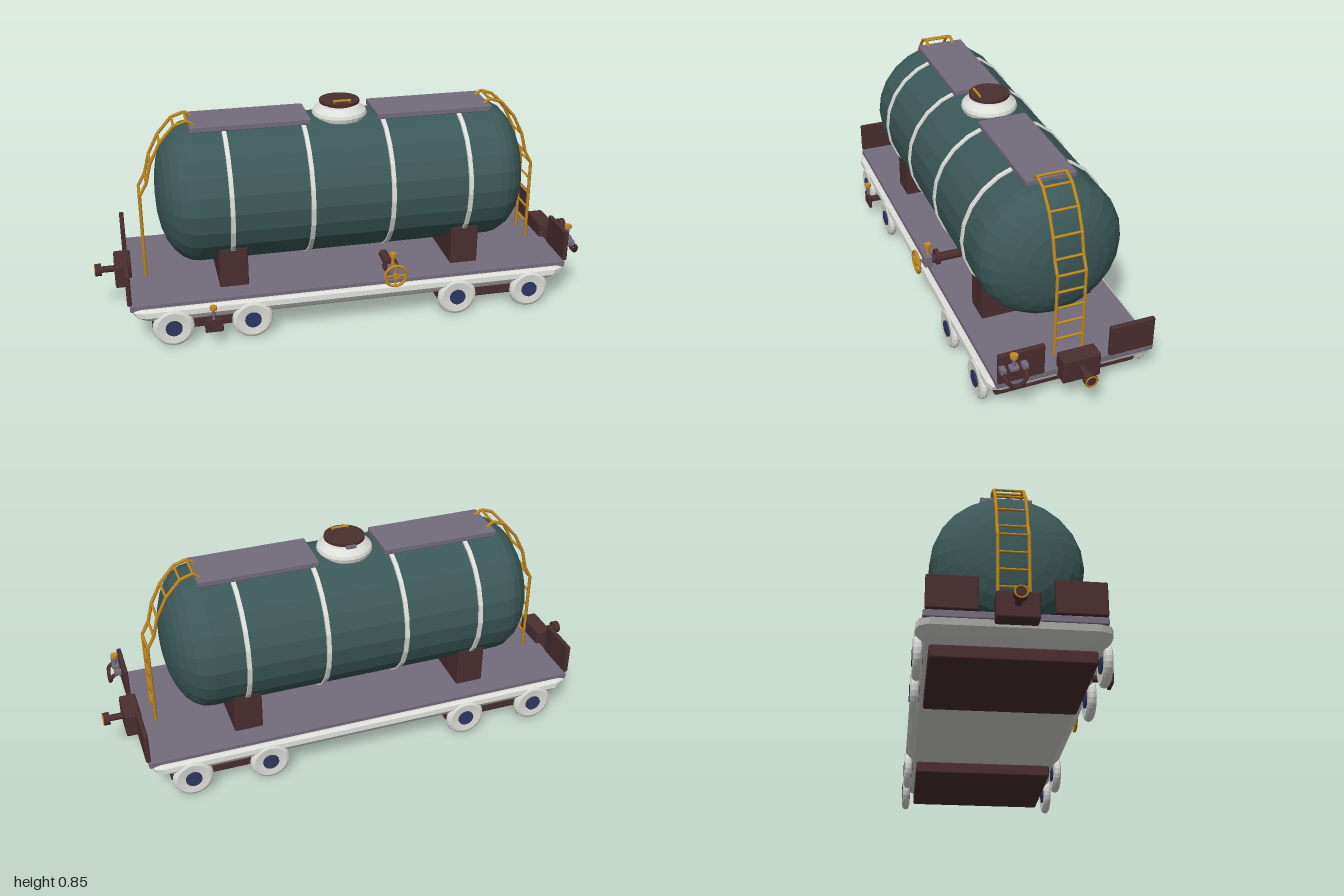
import * as THREE from 'three';
import { RoundedBoxGeometry } from 'three/addons/geometries/RoundedBoxGeometry.js';
import { ConvexGeometry } from 'three/addons/geometries/ConvexGeometry.js';

const ZC = -0.02; // centre line of the wagon

function material(name, color, flatShading = false) {
  const m = new THREE.MeshStandardMaterial({ color, flatShading });
  m.name = name;
  return m;
}

export function createModel() {
  const green = material('tank green', 0x3c5858, true);
  const white = material('off white', 0xdcdcd8, true);
  const maroon = material('dark maroon', 0x4a2e30);
  const grey = material('mauve grey', 0x746c7c);
  const gold = material('gold', 0xc08a20);
  const navy = material('navy', 0x2f3860);

  const model = new THREE.Group();
  model.name = 'tankWagon';

  const add = (name, geometry, mat, x = 0, y = 0, z = 0, parent = model) => {
    const mesh = new THREE.Mesh(geometry, mat);
    mesh.name = name;
    mesh.position.set(x, y, z);
    parent.add(mesh);
    return mesh;
  };
  // Rounded box given by its centre and size
  const box = (name, mat, [x, y, z], [w, h, d], r = 0.005, parent = model) =>
    add(name, new RoundedBoxGeometry(w, h, d, 1, r), mat, x, y, z, parent);
  // Cylinder along an axis
  const rod = (name, mat, axis, [x, y, z], r, length, sides = 16, parent = model) => {
    const g = new THREE.CylinderGeometry(r, r, length, sides);
    if (axis === 'x') g.rotateZ(Math.PI / 2);
    if (axis === 'z') g.rotateX(Math.PI / 2);
    return add(name, g, mat, x, y, z, parent);
  };
  const lathe = (pairs, sides) =>
    new THREE.LatheGeometry(pairs.map(([r, y]) => new THREE.Vector2(r, y)), sides);
  const group = (name) => {
    const g = new THREE.Group();
    g.name = name;
    model.add(g);
    return g;
  };

  // Tank: straight barrel with domed ends, lying along x
  const profile = [];
  const steps = 7;
  for (const end of [-1, 1]) {
    for (let i = 0; i <= steps; i++) {
      const a = (end < 0 ? i : steps - i) / steps * Math.PI / 2;
      profile.push([0.28 * Math.pow(Math.sin(a), 0.85), end * (0.59 + 0.15 * Math.cos(a))]);
    }
  }
  add('tank', lathe(profile, 24).rotateZ(Math.PI / 2), green, 0, 0.505, ZC);

  // Bands round the tank
  for (const x of [-0.468, -0.16, 0.155, 0.465]) {
    const ring = lathe([[0.276, -0.01], [0.287, -0.008], [0.287, 0.008], [0.276, 0.01]], 24);
    add('tankBand', ring.rotateZ(Math.PI / 2), white, x, 0.505, ZC);
  }

  // Filler dome, lid, handle and hinge
  add('fillerDome', lathe([[0.085, -0.04], [0.105, -0.015], [0.109, 0.0], [0.105, 0.012],
    [0.078, 0.032], [0, 0.034]], 24), white, 0, 0.785, -0.022);
  rod('lidNeck', maroon, 'y', [0, 0.822, -0.022], 0.06, 0.012, 20);
  rod('fillerLid', maroon, 'y', [0, 0.832, -0.022], 0.079, 0.011, 24);
  rod('lidHandle', gold, 'x', [0, 0.845, 0.028], 0.005, 0.07, 8);
  for (const x of [-0.03, 0.03]) rod('lidHandlePost', gold, 'y', [x, 0.84, 0.028], 0.004, 0.012, 8);
  box('lidHinge', grey, [0, 0.826, -0.1], [0.04, 0.014, 0.016], 0.003);

  // Chassis: cut-cornered slab narrowing downwards
  const points = [];
  for (const [y, hx, hz] of [[0.162, 0.862, 0.312], [0.153, 0.872, 0.325], [0.132, 0.862, 0.327],
    [0.11, 0.83, 0.312], [0.093, 0.80, 0.29]]) {
    for (const sx of [-1, 1]) for (const sz of [-1, 1]) {
      points.push(new THREE.Vector3(sx * hx, y, ZC + sz * (hz - 0.045)));
      points.push(new THREE.Vector3(sx * (hx - 0.013), y, ZC + sz * (hz - 0.013)));
      points.push(new THREE.Vector3(sx * (hx - 0.045), y, ZC + sz * hz));
    }
  }
  add('chassis', new ConvexGeometry(points), white);
  box('deck', grey, [0, 0.166, ZC], [1.75, 0.028, 0.61]);

  // Parts repeated at both ends
  for (const s of [-1, 1]) {
    box('bogie', maroon, [s * 0.57, 0.07, ZC], [0.45, 0.05, 0.56], 0.008);
    box('saddle', maroon, [s * 0.467, 0.255, ZC], [0.112, 0.17, 0.45]);
    box('walkway', grey, [s * 0.366, 0.785, ZC - 0.003], [0.468, 0.024, 0.194], 0.004);
    box('endPlate', maroon, [s * 0.875, 0.242, 0.195], [0.018, 0.125, 0.176]);
    box('endPlate', maroon, [s * 0.875, 0.242, -0.232], [0.018, 0.125, 0.176]);

    // Coupler
    box('couplerBox', maroon, [s * 0.888, 0.188, ZC], [0.066, 0.097, 0.146], 0.007);
    rod('couplerShank', maroon, 'x', [s * 0.95, 0.193, ZC], 0.013, 0.08);
    rod('couplerHead', maroon, 'x', [s * 0.984, 0.193, ZC], 0.025, 0.024, 20);
    add('couplerRing', new THREE.TorusGeometry(0.021, 0.003, 6, 24).rotateY(Math.PI / 2), gold,
      s * 0.996, 0.193, ZC);

    // Ladder bent over the end of the tank
    const ladder = group('ladder');
    const path = [[0.8, 0.18], [0.8, 0.52], [0.772, 0.57], [0.752, 0.65], [0.712, 0.73],
      [0.655, 0.795], [0.605, 0.812], [0.575, 0.79]];
    const rail = new THREE.CurvePath();
    for (let i = 1; i < path.length; i++) {
      rail.add(new THREE.LineCurve3(new THREE.Vector3(s * path[i - 1][0], path[i - 1][1], 0),
        new THREE.Vector3(s * path[i][0], path[i][1], 0)));
    }
    for (const z of [0.034, -0.075]) {
      add('ladderRail', new THREE.TubeGeometry(rail, 90, 0.0065, 6), gold, 0, 0, z, ladder);
    }
    const rungs = [[0.8, 0.245], [0.8, 0.315], [0.8, 0.382], [0.8, 0.45], ...path.slice(1)];
    for (const [x, y] of rungs) {
      rod('ladderRung', gold, 'z', [s * x, y, ZC], 0.005, 0.11, 8, ladder);
    }

    // Wheels with hubs, two per side at each end
    for (const x of [0.413, 0.717]) for (const side of [-1, 1]) {
      const wheel = group('wheel');
      wheel.position.set(s * x, 0.08, ZC + side * 0.315);
      const tyre = lathe([[0.03, -0.012], [0.065, -0.016], [0.076, -0.01], [0.08, 0],
        [0.076, 0.01], [0.065, 0.016], [0.03, 0.012], [0.03, -0.012]], 24);
      add('tyre', tyre.rotateX(Math.PI / 2), white, 0, 0, 0, wheel);
      rod('hub', navy, 'z', [0, 0, 0], 0.032, 0.036, 16, wheel);
    }
  }

  // Discharge valve with hand wheel on the front side
  const valve = group('dischargeValve');
  const vx = 0.145, vy = 0.222;
  rod('valvePipe', maroon, 'z', [vx, vy, 0.21], 0.018, 0.14, 12, valve);
  rod('valveFlange', maroon, 'z', [vx, vy + 0.005, 0.255], 0.032, 0.014, 16, valve);
  box('valveBody', grey, [vx, vy, 0.295], [0.04, 0.05, 0.034], 0.005, valve);
  rod('valveAxle', grey, 'z', [vx, vy, 0.322], 0.007, 0.04, 10, valve);
  add('handWheel', new THREE.TorusGeometry(0.043, 0.006, 8, 24), gold, vx, vy, 0.34, valve);
  rod('wheelSpoke', gold, 'x', [vx, vy, 0.34], 0.004, 0.086, 8, valve);
  rod('wheelSpoke', gold, 'y', [vx, vy, 0.34], 0.004, 0.086, 8, valve);
  rod('wheelBoss', gold, 'z', [vx, vy, 0.34], 0.012, 0.014, 12, valve);
  rod('valveStem', gold, 'y', [vx, 0.265, 0.292], 0.007, 0.045, 10, valve);
  rod('valveCap', gold, 'y', [vx, 0.291, 0.292], 0.014, 0.012, 12, valve);

  // Brake release on the front side
  const brake = group('brakeRelease');
  box('brakePlate', maroon, [-0.567, 0.095, 0.343], [0.07, 0.056, 0.014], 0.005, brake);
  box('brakeBracket', maroon, [-0.567, 0.095, 0.31], [0.025, 0.02, 0.06], 0.004, brake);
  rod('brakeStem', grey, 'y', [-0.567, 0.142, 0.343], 0.006, 0.045, 10, brake);
  rod('brakeKnob', gold, 'y', [-0.567, 0.17, 0.343], 0.014, 0.013, 12, brake);

  // Air hose and tap on the left end
  const air = group('airHose');
  const hose = new THREE.CatmullRomCurve3([[0.9, 0.25, 0.272], [0.925, 0.23, 0.27],
    [0.93, 0.202, 0.25], [0.93, 0.2, 0.212], [0.925, 0.23, 0.192], [0.9, 0.25, 0.19]]
    .map((p) => new THREE.Vector3(...p)), false, 'catmullrom', 0.3);
  add('hose', new THREE.TubeGeometry(hose, 30, 0.008, 8), maroon, 0, 0, 0, air);
  for (const z of [0.272, 0.19]) {
    box('hoseFitting', grey, [0.897, 0.253, z], [0.03, 0.024, 0.022], 0.004, air);
  }
  box('tapBody', grey, [0.9, 0.258, 0.232], [0.03, 0.016, 0.034], 0.004, air);
  rod('tapStem', grey, 'y', [0.9, 0.28, 0.232], 0.007, 0.045, 10, air);
  rod('tapHandle', gold, 'y', [0.9, 0.307, 0.232], 0.015, 0.012, 12, air);

  return model;
}
